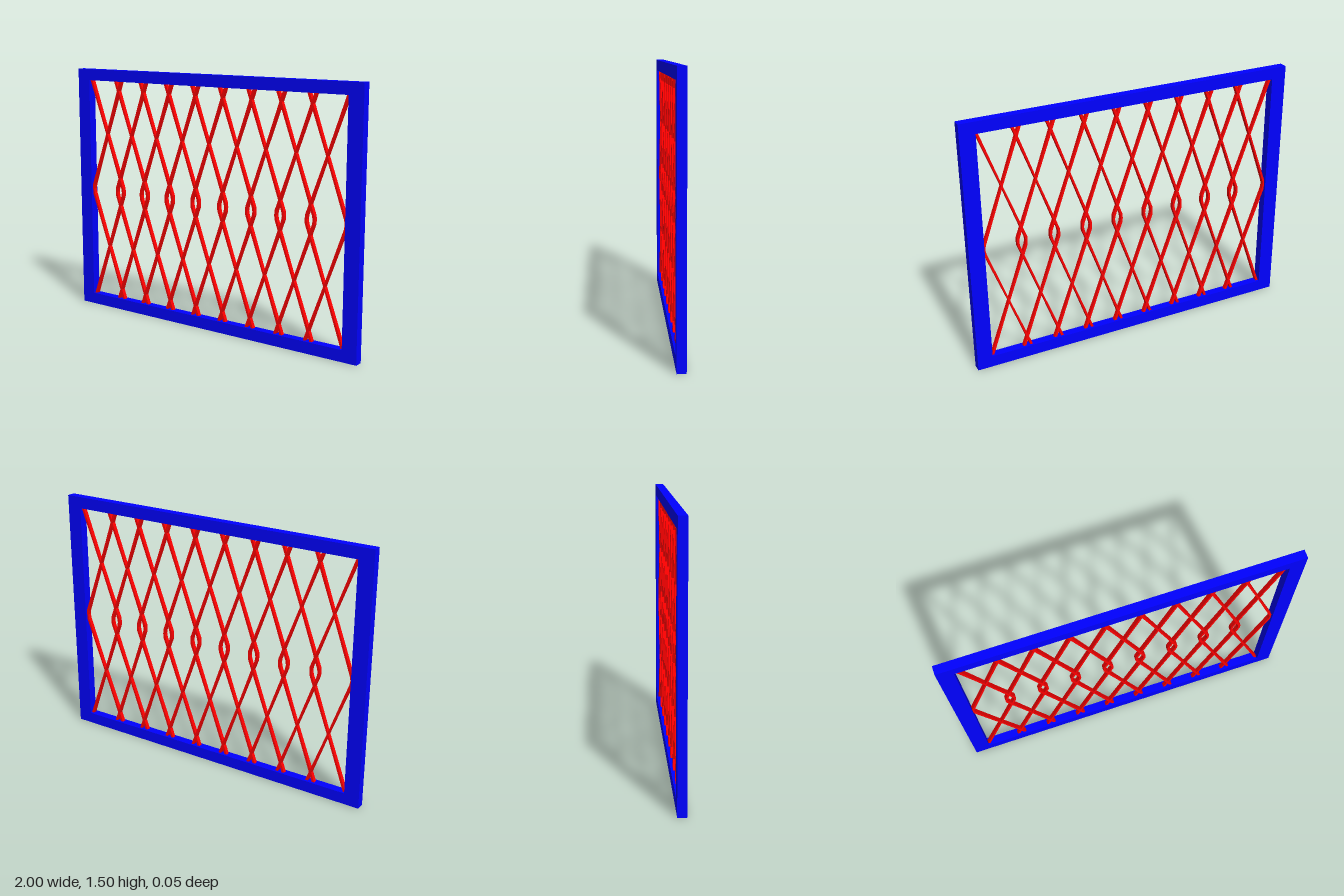
import * as THREE from 'three';

export function createModel() {
  const model = new THREE.Group();
  model.name = 'latticePanel';
  const blue = new THREE.MeshStandardMaterial({ color: 0x0000ff });
  const red = new THREE.MeshStandardMaterial({ color: 0xff0000 });

  // Rectangular frame: full-height posts with rails between them
  const W = 2, H = 1.5, DEPTH = 0.05, POST = 0.09, RAIL = 0.068;
  const addBox = (name, w, h, x, y) => {
    const mesh = new THREE.Mesh(new THREE.BoxGeometry(w, h, DEPTH), blue);
    mesh.position.set(x, y, 0);
    mesh.name = name;
    model.add(mesh);
  };
  addBox('leftPost', POST, H, W / 2 - POST / 2, H / 2);
  addBox('rightPost', POST, H, -W / 2 + POST / 2, H / 2);
  addBox('topRail', W - 2 * POST, RAIL, 0, H - RAIL / 2);
  addBox('bottomRail', W - 2 * POST, RAIL, 0, RAIL / 2);

  // One bent lattice bar: [x offset, y, horizontal width], slimmer at its crossings
  const path = [
    [-0.122, 1.44, 0.016], [0, 1.105, 0.01], [0.12, 0.775, 0.015], [0.123, 0.75, 0.012],
    [0.12, 0.725, 0.015], [0, 0.395, 0.01], [-0.122, 0.06, 0.016],
  ];
  const barGeometry = (side) => {
    const rightEdge = path.map(([x, y, w]) => new THREE.Vector2(side * x + w / 2, y));
    const leftEdge = path.map(([x, y, w]) => new THREE.Vector2(side * x - w / 2, y));
    const shape = new THREE.Shape([...leftEdge, ...rightEdge.reverse()]);
    const depth = 0.024;
    return new THREE.ExtrudeGeometry(shape, { depth, bevelEnabled: false }).translate(0, 0, -depth / 2);
  };

  // Nine mirrored pairs of bars make the diamond lattice
  const lattice = new THREE.Group();
  lattice.name = 'lattice';
  const COUNT = 9, PITCH = 0.196;
  for (const side of [1, -1]) {
    const geometry = barGeometry(side);
    for (let i = 0; i < COUNT; i++) {
      const bar = new THREE.Mesh(geometry, red);
      bar.position.x = (i - (COUNT - 1) / 2) * PITCH;
      bar.name = 'latticeBar';
      lattice.add(bar);
    }
  }
  model.add(lattice);
  return model;
}
